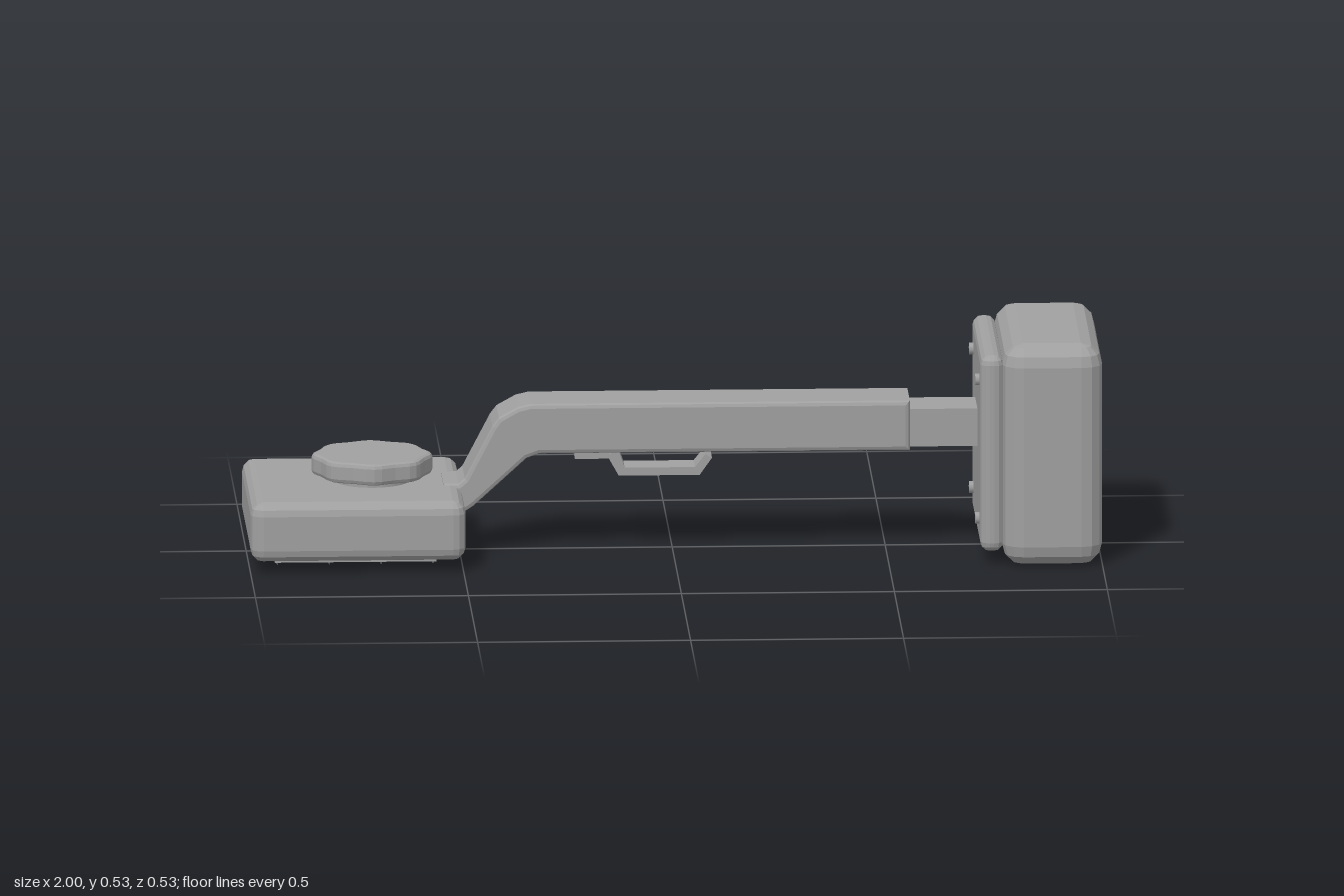
import * as THREE from 'three';
import { ConvexGeometry } from 'three/addons/geometries/ConvexGeometry.js';

export function createModel() {
  const model = new THREE.Group();
  const grey = new THREE.MeshStandardMaterial({ color: 0xa0a0a0 });
  grey.name = 'grey';

  const add = (name, geometry, x = 0, y = 0, z = 0) => {
    const mesh = new THREE.Mesh(geometry, grey);
    mesh.name = name;
    mesh.position.set(x, y, z);
    model.add(mesh);
    return mesh;
  };

  // Faceted rounded box: the hull of eight sphere octants
  const roundedBox = (w, h, d, r, n = 3) => {
    const points = [];
    for (const sx of [-1, 1]) for (const sy of [-1, 1]) for (const sz of [-1, 1]) {
      for (let i = 0; i <= n; i++) {
        const a = (i / n) * Math.PI / 2;
        for (let j = 0; j <= (i === n ? 0 : n); j++) {
          const b = (j / n) * Math.PI / 2;
          points.push(new THREE.Vector3(
            sx * (w / 2 - r + r * Math.cos(a) * Math.cos(b)),
            sy * (h / 2 - r + r * Math.sin(a)),
            sz * (d / 2 - r + r * Math.cos(a) * Math.sin(b))));
        }
      }
    }
    return new ConvexGeometry(points);
  };

  // Side profile extruded symmetrically across z, with a chamfer inside the outline
  const extrude = (points, width, bevel) => {
    const shape = new THREE.Shape(points.map(([x, y]) => new THREE.Vector2(x, y)));
    const geometry = new THREE.ExtrudeGeometry(shape, {
      depth: width - 2 * bevel, bevelEnabled: bevel > 0, bevelSize: bevel,
      bevelThickness: bevel, bevelOffset: -bevel, bevelSegments: 2,
    });
    return geometry.translate(0, 0, bevel - width / 2);
  };

  // Knee cushion and its backing plate
  add('kneeCushion', roundedBox(0.235, 0.53, 0.53, 0.05), 0.8825, 0.265, 0);
  add('backingPlate', roundedBox(0.054, 0.47, 0.47, 0.022), 0.741, 0.267, 0);
  for (const y of [0.1, 0.433]) for (const z of [-0.165, 0.165]) {
    add('plateBolt', new THREE.CylinderGeometry(0.014, 0.014, 0.016, 8).toNonIndexed(), 0.712, y, z)
      .rotation.z = Math.PI / 2;
  }

  // Sliding post and bent main arm
  add('slidingPost', new THREE.BoxGeometry(0.22, 0.09, 0.125), 0.62, 0.295, 0);
  add('mainArm', extrude([
    [0.555, 0.243], [0.555, 0.362], [-0.335, 0.362], [-0.365, 0.355], [-0.41, 0.33],
    [-0.425, 0.31], [-0.49, 0.185], [-0.505, 0.172], [-0.54, 0.172],
    [-0.54, 0.105], [-0.49, 0.105], [-0.47, 0.118], [-0.345, 0.232], [-0.315, 0.243],
  ], 0.153, 0.01));

  // Release trigger under the arm
  add('triggerMount', new THREE.BoxGeometry(0.1, 0.025, 0.07), -0.18, 0.234, 0);
  add('trigger', extrude([
    [-0.15, 0.235], [-0.15, 0.222], [-0.127, 0.181], [0.063, 0.181], [0.092, 0.222],
    [0.076, 0.23], [0.052, 0.2], [-0.113, 0.2], [-0.125, 0.235],
  ], 0.075, 0));

  // Gripping head
  add('head', roundedBox(0.505, 0.142, 0.524, 0.03), -0.7475, 0.098, 0);

  // Scalloped dial on a round stem
  add('dialStem', new THREE.CylinderGeometry(0.09, 0.09, 0.04, 24), -0.705, 0.176, 0);
  const outline = [];
  for (let i = 0; i < 48; i++) {
    const a = (i / 48) * Math.PI * 2;
    const r = 0.137 + 0.005 * Math.cos(8 * a);
    outline.push([r * Math.cos(a), r * Math.sin(a)]);
  }
  add('dial', extrude(outline, 0.05, 0.01), -0.705, 0.209, 0).rotation.x = -Math.PI / 2;

  // Ribs and gripping pins on the underside
  for (let i = -2; i <= 2; i++) {
    const z = i * 0.088;
    add('gripRib', new THREE.BoxGeometry(0.38, 0.014, 0.076), -0.752, 0.026, z);
    for (let j = 0; j < 4; j++) {
      const pin = new THREE.ConeGeometry(0.006, 0.02, 6).rotateX(Math.PI);
      add('gripPin', pin, -0.935 + j * 0.122, 0.014, z);
    }
  }
  return model;
}
